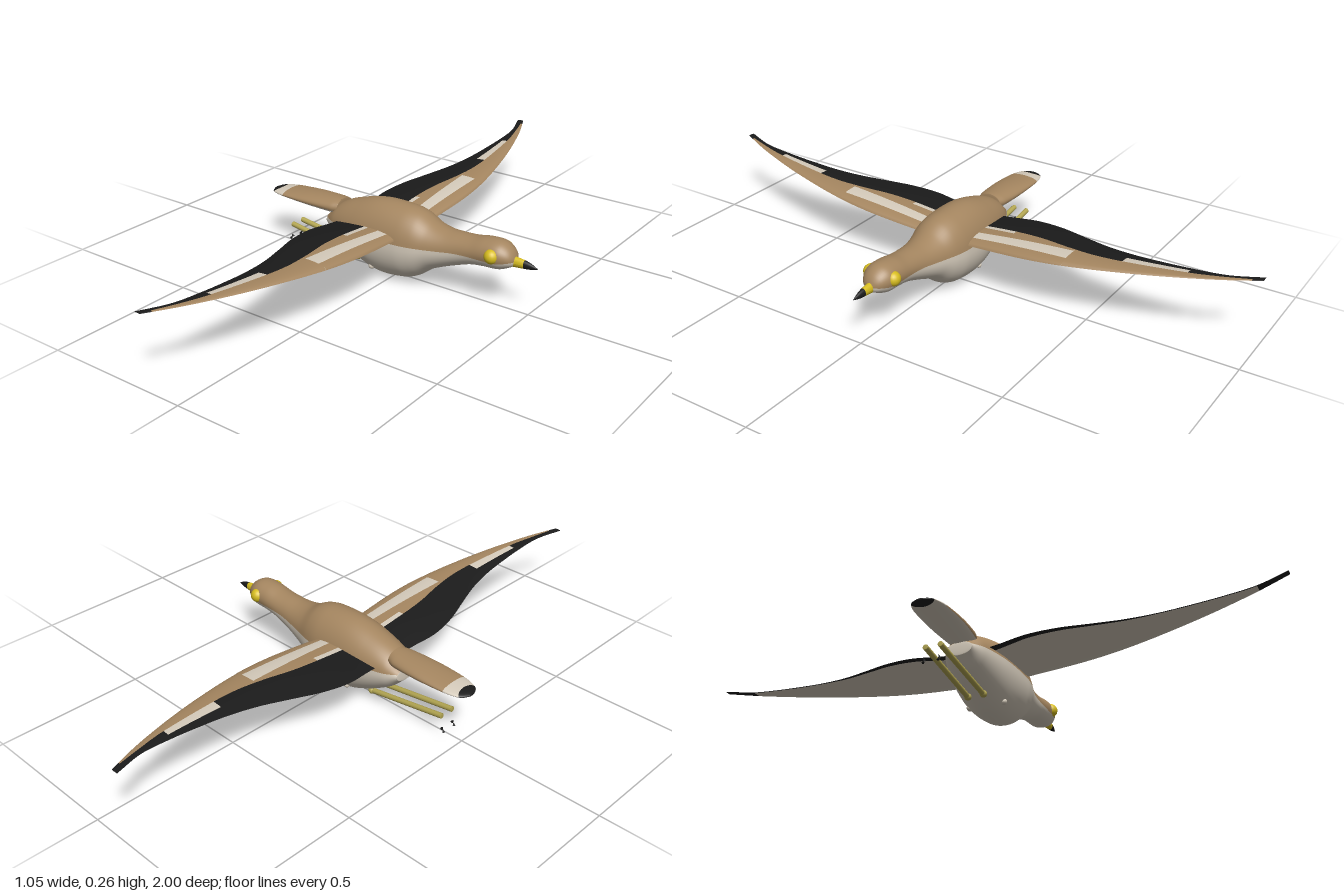
import * as THREE from 'three';

const mat = (name, color) => {
  const m = new THREE.MeshStandardMaterial({ color, side: THREE.DoubleSide });
  m.name = name;
  return m;
};

// Smooth interpolation through rows [key, v1, v2, ...]; returns column c at key k
function sample(rows, k, c = 1) {
  const n = rows.length - 1;
  let i = 0;
  while (i < n - 1 && k > rows[i + 1][0]) i++;
  const slope = (j) => {
    const a = rows[Math.max(j - 1, 0)], b = rows[Math.min(j + 1, n)];
    return (b[c] - a[c]) / (b[0] - a[0]);
  };
  const [p, q] = [rows[i], rows[i + 1]];
  const h = q[0] - p[0], t = THREE.MathUtils.clamp((k - p[0]) / h, 0, 1);
  const t2 = t * t, t3 = t2 * t;
  return (2 * t3 - 3 * t2 + 1) * p[c] + (t3 - 2 * t2 + t) * h * slope(i)
    + (3 * t2 - 2 * t3) * q[c] + (t3 - t2) * h * slope(i + 1);
}

// Grid surface from a rule f(u, v) -> [x, y, z]
function surface(f, nu, nv, flip = false) {
  const pos = [], idx = [];
  for (let i = 0; i <= nu; i++) for (let j = 0; j <= nv; j++) pos.push(...f(i / nu, j / nv));
  for (let i = 0; i < nu; i++) for (let j = 0; j < nv; j++) {
    const a = i * (nv + 1) + j, b = a + nv + 1;
    if (flip) idx.push(a, a + 1, b, b, a + 1, b + 1);
    else idx.push(a, b, a + 1, b, b + 1, a + 1);
  }
  const g = new THREE.BufferGeometry();
  g.setAttribute('position', new THREE.Float32BufferAttribute(pos, 3));
  g.setIndex(idx);
  g.computeVertexNormals();
  return g;
}

// Elliptical loft along x; rows are [x, bottom, top, halfWidth, colourLine].
// bow0 and bow1 pull the ends back towards the sides, for curved colour bands.
function loft(rows, x0, x1, part, nu = 40, nv = 24, bow0 = 0, bow1 = 0) {
  return surface((u, v) => {
    const side = Math.cos(Math.PI * v) ** 2;
    const x = THREE.MathUtils.lerp(x0 - bow0 * side, x1 - bow1 * side, u);
    const [lo, hi, w, line] = [1, 2, 3, 4].map((c) => sample(rows, x, c));
    const cy = (lo + hi) / 2, h = Math.max((hi - lo) / 2, 1e-4);
    const a = Math.asin(THREE.MathUtils.clamp((line - cy) / h, -0.98, 0.98));
    const [s, e] = part === 'upper' ? [a, Math.PI - a] : [Math.PI - a, 2 * Math.PI + a];
    const th = s + (e - s) * v;
    return [x, cy + h * Math.sin(th), Math.max(w, 1e-4) * Math.cos(th)];
  }, nu, nv);
}

const BODY = [
  [-0.265, 0.122, 0.168, 0.046, 0.155],
  [-0.22, 0.08, 0.209, 0.07, 0.155], [-0.13, 0.03, 0.243, 0.092, 0.155],
  [-0.05, 0.003, 0.26, 0.1, 0.155], [0.05, 0.009, 0.26, 0.1, 0.155],
  [0.1, 0.028, 0.25, 0.092, 0.155], [0.15, 0.064, 0.225, 0.077, 0.155],
  [0.2, 0.087, 0.215, 0.065, 0.158], [0.25, 0.106, 0.215, 0.057, 0.163],
  [0.3, 0.123, 0.218, 0.054, 0.165], [0.35, 0.13, 0.227, 0.054, 0.165],
  [0.4, 0.134, 0.227, 0.052, 0.166], [0.43, 0.146, 0.211, 0.038, 0.17],
  [0.445, 0.156, 0.192, 0.022, 0.172], [0.452, 0.17, 0.172, 0.001, 0.171],
];
const TAIL = [
  [-0.526, 0.184, 0.19, 0.012, 0.187], [-0.515, 0.181, 0.194, 0.032, 0.188],
  [-0.495, 0.179, 0.198, 0.044, 0.188], [-0.455, 0.177, 0.203, 0.053, 0.188],
  [-0.35, 0.17, 0.213, 0.057, 0.187], [-0.25, 0.164, 0.218, 0.05, 0.183],
  [-0.224, 0.163, 0.219, 0.042, 0.183],
];
const BEAK = [
  [0.43, 0.15, 0.187, 0.015, 0.168], [0.475, 0.154, 0.183, 0.011, 0.168],
  [0.5, 0.157, 0.177, 0.007, 0.167], [0.525, 0.164, 0.166, 0.001, 0.165],
];
// Wing outline: [z, leading x, trailing x]
const WING = [
  [0, 0.053, -0.195], [0.1, 0.055, -0.2], [0.2, 0.06, -0.21], [0.3, 0.062, -0.195],
  [0.4, 0.056, -0.162], [0.5, 0.041, -0.13], [0.6, 0.02, -0.111], [0.7, -0.005, -0.103],
  [0.8, -0.035, -0.1], [0.9, -0.07, -0.105], [1, -0.113, -0.137],
];
// Front edge of the dark flight feathers
const DARK = [[0, -0.07], [0.2, -0.07], [0.3, -0.063], [0.4, -0.045], [0.5, -0.034],
  [0.6, -0.038], [0.8, -0.063], [0.9, -0.087], [0.97, -0.107]];

const lead = (z) => sample(WING, z, 1), trail = (z) => sample(WING, z, 2);
const dark = (z) => sample(DARK, z);
const stripeFront = () => 0.023;
const stripeBack = (z) => -0.008 - 0.05 * z;
const innerBar = (z) => dark(z) + 0.018;
const outerBar = (z) => dark(z) - THREE.MathUtils.lerp(0.033, 0.02, (z - 0.59) / 0.2);
const hem = (z) => trail(z) + THREE.MathUtils.lerp(0.03, 0.004, Math.min(z / 0.6, 1));

// One coloured strip of the upper or lower wing skin
function wingStrip(front, back, z0, z1, bulge, s) {
  const n = Math.max(3, Math.ceil((z1 - z0) * 50));
  return surface((u, v) => {
    const z = z0 + (z1 - z0) * u, l = lead(z), chord = l - trail(z);
    const x = THREE.MathUtils.lerp(front(z), back(z), v * v * 0.5 + v * 0.5);
    const t = THREE.MathUtils.clamp((l - x) / chord, 0, 1);
    return [x, 0.159 + 0.085 * z + bulge * chord * Math.sqrt(t) * (1 - t), s * z];
  }, n, 8, (bulge > 0) === (s < 0));
}

export function createModel() {
  const model = new THREE.Group();
  model.name = 'flyingBird';
  const brown = mat('brown plumage', 0xa58660), cream = mat('cream plumage', 0xd5cbbb);
  const black = mat('black feathers', 0x1b1b1b);
  const yellow = mat('yellow', 0xd8be20), olive = mat('leg olive', 0xb3a652);
  const add = (name, geo, m, parent = model) => {
    const mesh = new THREE.Mesh(geo, m);
    mesh.name = name;
    parent.add(mesh);
    return mesh;
  };
  // Small ellipsoid
  const ball = (name, m, [x, y, z], [a, b, c]) => {
    const mesh = add(name, new THREE.SphereGeometry(1, 20, 14), m);
    mesh.position.set(x, y, z);
    mesh.scale.set(a, b, c);
  };

  // Body, neck and head in one loft, brown above and cream below
  add('back', loft(BODY, -0.265, 0.452, 'upper', 110), brown);
  add('belly', loft(BODY, -0.265, 0.452, 'lower', 110), cream);
  ball('rump', cream, [-0.265, 0.145, 0], [0.002, 0.023, 0.046]);

  // Tail with pale band and dark tip; two-tone beak
  add('tailTop', loft(TAIL, -0.455, -0.224, 'upper'), brown);
  add('tailUnderside', loft(TAIL, -0.455, -0.224, 'lower'), cream);
  ball('tailRoot', brown, [-0.224, 0.191, 0], [0.002, 0.028, 0.042]);
  for (const part of ['upper', 'lower']) {
    add('tailBand', loft(TAIL, -0.493, -0.455, part, 10, 24, 0.013, 0), cream);
    add('tailTip', loft(TAIL, -0.526, -0.493, part, 10, 24, 0, 0.013), black);
    add('beakBase', loft(BEAK, 0.43, 0.479, part, 8, 10), yellow);
    add('beakTip', loft(BEAK, 0.479, 0.525, part, 8, 10), black);
  }
  ball('tailEnd', black, [-0.5255, 0.187, 0], [0.001, 0.003, 0.012]);

  for (const s of [1, -1]) {
    // Wing: coloured strips on top, cream lining with a dark hem below
    const wing = new THREE.Group();
    wing.name = s > 0 ? 'wingPlusZ' : 'wingMinusZ';
    model.add(wing);
    const top = (name, m, f, b, z0, z1) => add(name, wingStrip(f, b, z0, z1, 0.2, s), m, wing);
    const under = (name, m, f, b, z0, z1) => add(name, wingStrip(f, b, z0, z1, -0.06, s), m, wing);
    top('leadingEdge', brown, lead, stripeFront, 0.04, 0.43);
    top('wingStripe', cream, stripeFront, stripeBack, 0.04, 0.43);
    top('innerCoverts', brown, stripeBack, innerBar, 0.04, 0.2);
    top('innerBar', cream, innerBar, dark, 0.04, 0.2);
    top('coverts', brown, stripeBack, dark, 0.2, 0.43);
    top('outerCoverts', brown, lead, dark, 0.43, 0.97);
    top('flightFeathers', black, dark, trail, 0.04, 0.59);
    top('outerBar', cream, dark, outerBar, 0.59, 0.79);
    top('flightFeathers', black, outerBar, trail, 0.59, 0.79);
    top('flightFeathers', black, dark, trail, 0.79, 0.97);
    top('wingTip', black, lead, trail, 0.97, 1);
    under('wingLining', cream, lead, hem, 0.04, 0.9);
    under('trailingHem', black, hem, trail, 0.04, 0.9);
    under('wingTipUnderside', black, lead, trail, 0.9, 1);

    // Eye and a small thigh bump on the belly
    ball('eye', yellow, [0.385, 0.185, s * 0.042], [0.024, 0.024, 0.024]);
    ball('thigh', cream, [-0.063, 0.035, s * 0.06], [0.011, 0.011, 0.011]);

    // Trailing leg with rounded joint and small dark toes
    const path = new THREE.LineCurve3(new THREE.Vector3(-0.145, 0.035, s * 0.027),
      new THREE.Vector3(-0.436, 0.077, s * 0.025));
    add('leg', new THREE.TubeGeometry(path, 1, 0.009, 12), olive);
    ball('legJoint', olive, [-0.145, 0.035, s * 0.027], [0.012, 0.012, 0.012]);
    ball('legEnd', olive, [-0.436, 0.077, s * 0.025], [0.001, 0.009, 0.009]);
    for (const [x, y, turn] of [[-0.441, 0.034, 0.6], [-0.445, 0.025, -0.5]]) {
      const toe = add('toe', new THREE.ConeGeometry(0.005, 0.012, 5), black);
      toe.position.set(x, y, s * 0.025);
      toe.rotation.z = turn;
    }
  }
  return model;
}
